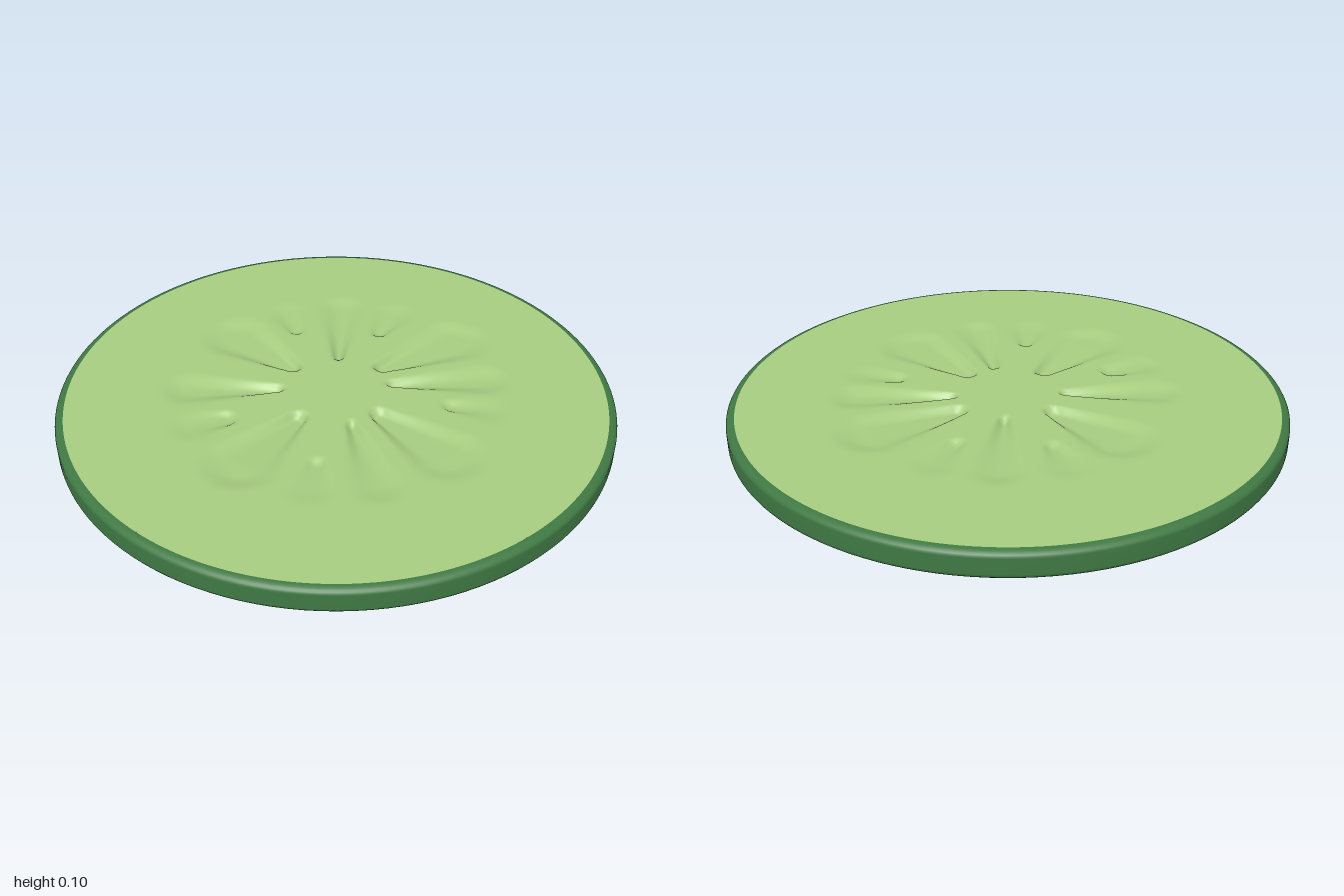
import * as THREE from 'three';

const RADIUS = 1, HEIGHT = 0.1;

// Seed hollows: inner end x, z; outer end x, z; inner and outer half width; depth
const SEEDS = [
  [-0.02, -0.21, -0.055, -0.55, 0.015, 0.055, 0.024],
  [0.115, -0.4, 0.155, -0.53, 0.025, 0.05, 0.016],
  [0.155, -0.17, 0.4, -0.37, 0.03, 0.105, 0.026],
  [0.2, -0.065, 0.53, -0.13, 0.015, 0.06, 0.026],
  [0.42, 0.045, 0.55, 0.05, 0.025, 0.04, 0.014],
  [0.175, 0.13, 0.42, 0.32, 0.03, 0.105, 0.024],
  [0.085, 0.2, 0.21, 0.51, 0.015, 0.055, 0.022],
  [-0.005, 0.43, 0, 0.55, 0.025, 0.05, 0.015],
  [-0.11, 0.19, -0.25, 0.46, 0.03, 0.105, 0.026],
  [-0.36, 0.23, -0.46, 0.29, 0.035, 0.05, 0.016],
  [-0.21, 0.025, -0.53, 0.08, 0.015, 0.06, 0.026],
  [-0.185, -0.125, -0.42, -0.28, 0.03, 0.105, 0.026],
  [-0.21, -0.37, -0.265, -0.48, 0.025, 0.05, 0.014],
];

// Depth of the hollows at a point: tapered drops, crisp inside and soft outside
function hollowDepth(x, z) {
  let depth = 0;
  for (const [ax, az, bx, bz, w0, w1, d] of SEEDS) {
    const dx = bx - ax, dz = bz - az;
    const t = THREE.MathUtils.clamp(((x - ax) * dx + (z - az) * dz) / (dx * dx + dz * dz), 0, 1);
    const edge = THREE.MathUtils.lerp(w0, w1, t) - Math.hypot(x - ax - t * dx, z - az - t * dz);
    const soft = THREE.MathUtils.lerp(0.014, 0.045, t);
    depth = Math.max(depth, d * (1 - 0.45 * t) * THREE.MathUtils.smoothstep(edge, -soft, soft));
  }
  return depth;
}

// Round cut face with the hollows pressed in; side is 1 for top, -1 for bottom
function cutFace(radius, side) {
  const start = -side * 0.35; // seam lies between two seeds
  const geometry = new THREE.RingGeometry(0, radius, 256, 76, start, Math.PI * 2);
  geometry.rotateX(-side * Math.PI / 2);
  const p = geometry.attributes.position;
  for (let i = 0; i < p.count; i++) {
    const level = side > 0 ? HEIGHT : 0;
    p.setY(i, level - side * hollowDepth(p.getX(i), p.getZ(i)));
  }
  geometry.computeVertexNormals();
  // Keep the centre and rim normals exactly vertical
  const n = geometry.attributes.normal;
  for (let i = 0; i < n.count; i++) {
    const r = Math.hypot(p.getX(i), p.getZ(i));
    if (r < 0.05 || r > 0.75) n.setXYZ(i, 0, side, 0);
  }
  return geometry;
}

export function createModel() {
  const group = new THREE.Group();
  group.name = 'vegetableSlice';
  const flesh = new THREE.MeshStandardMaterial({ color: 0xa6cc80 });
  flesh.name = 'paleGreenFlesh';
  const skin = new THREE.MeshStandardMaterial({ color: 0x3f7843 });
  skin.name = 'darkGreenSkin';

  const add = (name, geometry, material) => {
    const mesh = new THREE.Mesh(geometry, material);
    mesh.name = name;
    group.add(mesh);
  };

  // Skin: flat band underneath, rounded edge, thin lip on top
  const profile = [new THREE.Vector2(0.8, 0), new THREE.Vector2(0.92, 0)];
  const corner = (cx, cy, rx, ry, from, to) => {
    for (let i = 0; i <= 6; i++) {
      const a = THREE.MathUtils.lerp(from, to, i / 6);
      profile.push(new THREE.Vector2(cx + rx * Math.cos(a), cy + ry * Math.sin(a)));
    }
  };
  corner(RADIUS - 0.035, 0.025, 0.035, 0.025, -Math.PI / 2, 0);
  corner(RADIUS - 0.03, HEIGHT - 0.02, 0.03, 0.02, 0, Math.PI / 2);
  add('skin', new THREE.LatheGeometry(profile, 128), skin);

  add('topFlesh', cutFace(0.97, 1), flesh);
  add('bottomFlesh', cutFace(0.8, -1), flesh);
  return group;
}
